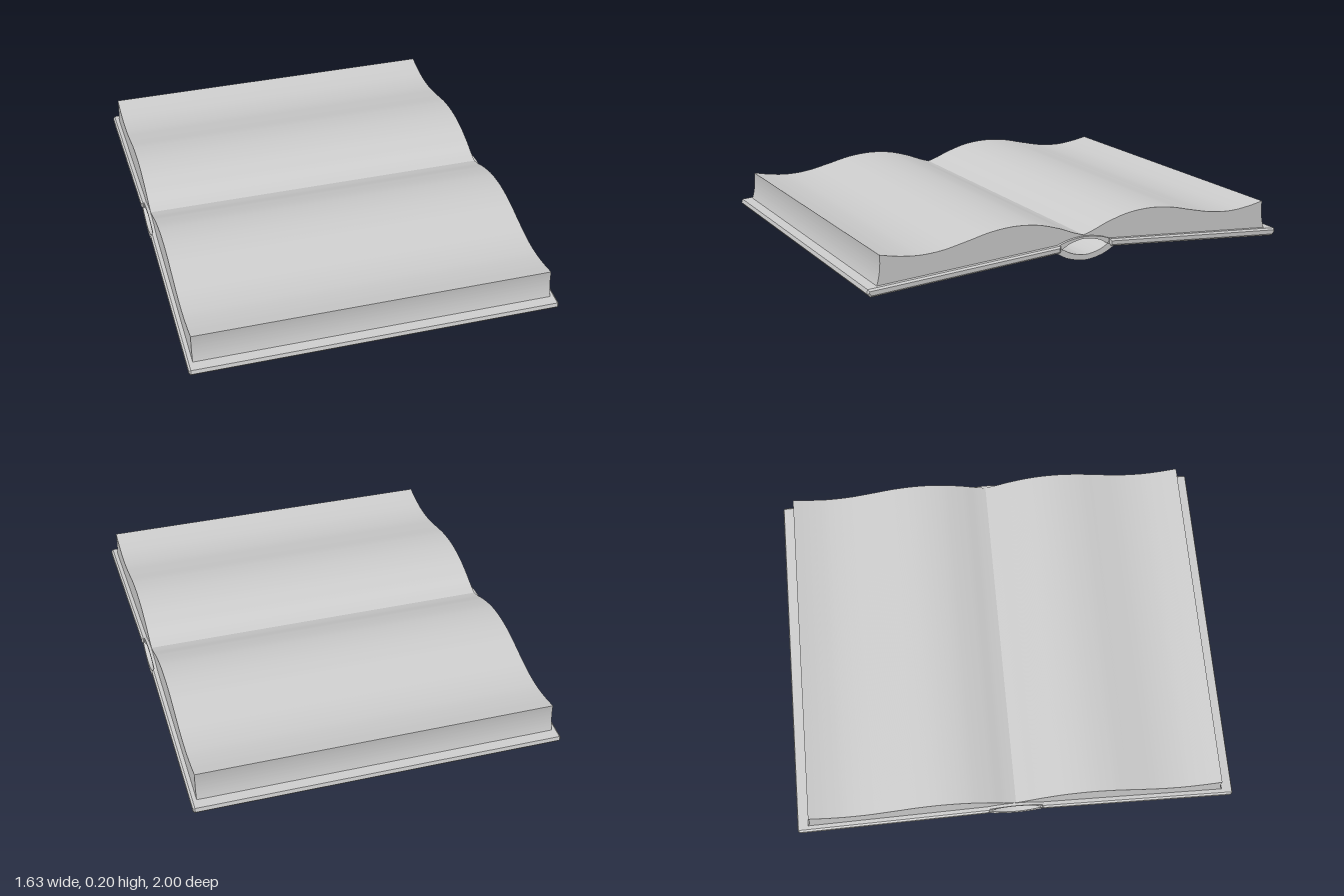
import * as THREE from 'three';
import { toCreasedNormals } from 'three/addons/utils/BufferGeometryUtils.js';

const material = new THREE.MeshStandardMaterial({ color: 0xcccccc });
const points = (list) => list.map(([z, y]) => new THREE.Vector2(z, y));

// Extrudes a (z, y) profile along x, centred, with an optional chamfer
function sweep(name, shape, halfWidth, bevel = 0) {
  const depth = 2 * (halfWidth - bevel);
  const geometry = new THREE.ExtrudeGeometry(shape, {
    depth, curveSegments: 32, bevelEnabled: bevel > 0, bevelSegments: 1,
    bevelThickness: bevel, bevelSize: bevel, bevelOffset: -bevel,
  });
  geometry.translate(0, 0, -depth / 2).rotateY(-Math.PI / 2);
  const mesh = new THREE.Mesh(toCreasedNormals(geometry, 0.5), material);
  mesh.name = name;
  return mesh;
}

// Half of the open book: page block with a wavy top and a curved fore edge
function pageShape() {
  const shape = new THREE.Shape();
  shape.moveTo(0, 0.116);
  shape.quadraticCurveTo(0.07, 0.114, 0.14, 0.09);
  shape.lineTo(0.95, 0.035);
  shape.quadraticCurveTo(0.93, 0.095, 0.935, 0.163);
  shape.splineThru(points([
    [0.85, 0.147], [0.76, 0.139], [0.66, 0.146], [0.55, 0.169], [0.44, 0.194],
    [0.33, 0.204], [0.22, 0.195], [0.12, 0.168], [0.05, 0.141], [0, 0.125],
  ]));
  return shape;
}

// Sloping cover board
function boardShape() {
  return new THREE.Shape(points([[0.12, 0.064], [0.985, 0], [1, 0.017], [0.995, 0.034], [0.12, 0.096]]));
}

// Crescent band: outer and inner arcs meeting the board edges
function bandShape(outerEnd, outerMid, innerEnd, innerMid) {
  const arc = ([z, y], mid) => {
    const c = new THREE.CatmullRomCurve3([
      [-z, y], [-z * 0.62, y + (mid - y) * 0.62], [0, mid], [z * 0.62, y + (mid - y) * 0.62], [z, y],
    ].map(([a, b]) => new THREE.Vector3(a, b, 0)));
    return c.getPoints(32).map((p) => new THREE.Vector2(p.x, p.y));
  };
  return new THREE.Shape([...arc(outerEnd, outerMid), ...arc(innerEnd, innerMid).reverse()]);
}

export function createModel() {
  const book = new THREE.Group();
  book.name = 'openBook';

  // Two matching halves
  for (const [side, turn] of [['front', 0], ['back', Math.PI]]) {
    const half = new THREE.Group();
    half.name = `${side}Half`;
    half.rotation.y = turn;
    half.add(sweep('pageBlock', pageShape(), 0.79));
    half.add(sweep('coverBoard', boardShape(), 0.815, 0.008));
    book.add(half);
  }

  // Spine hanging below and the page binding arched above it
  book.add(sweep('spine', bandShape([0.14, 0.064], 0.02, [0.11, 0.079], 0.044), 0.81));
  book.add(sweep('binding', bandShape([0.135, 0.093], 0.121, [0.11, 0.078], 0.112), 0.803));
  return book;
}
